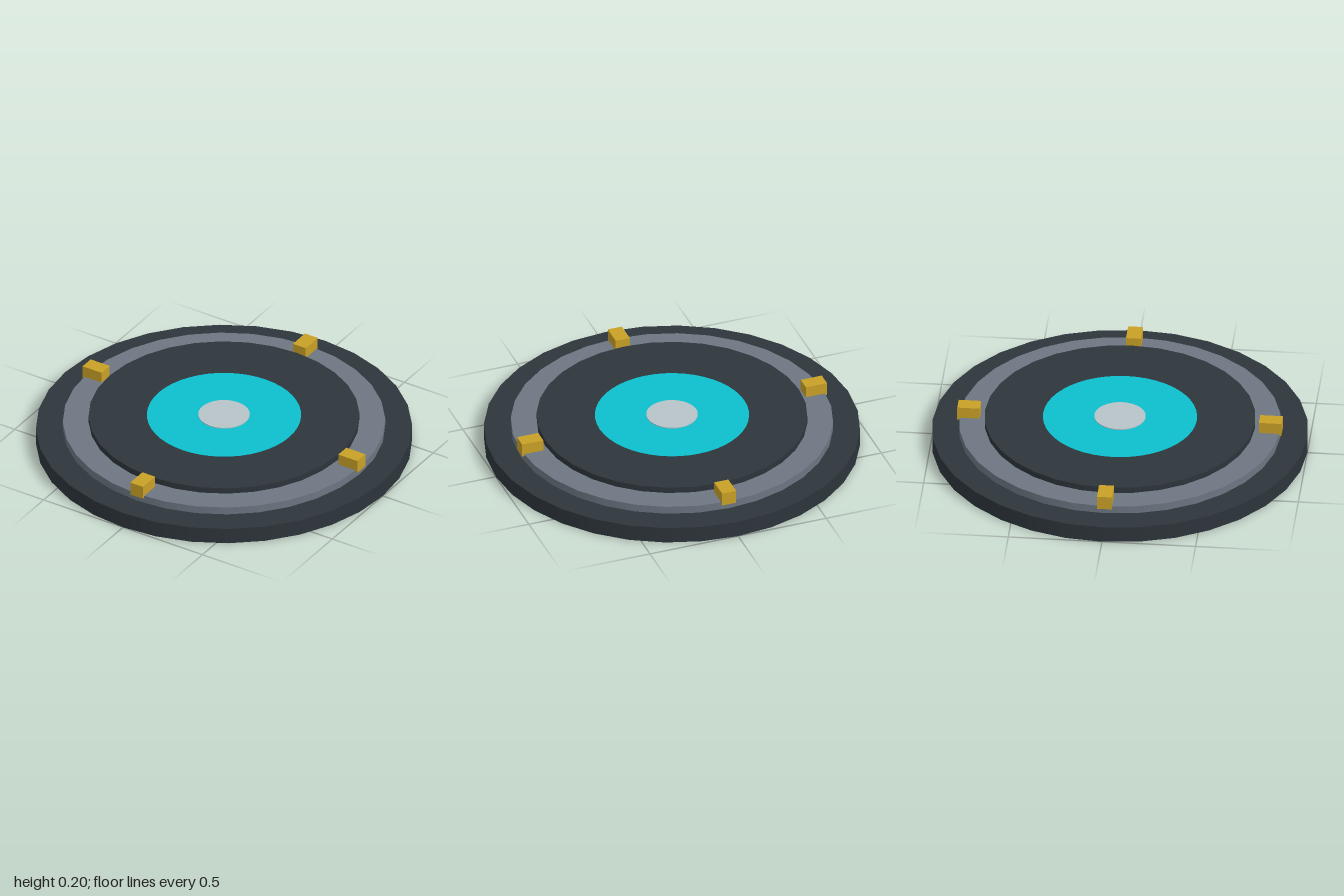
import * as THREE from 'three';

const material = (name, color, flatShading = false) => {
  const m = new THREE.MeshStandardMaterial({ color, flatShading });
  m.name = name;
  return m;
};

export function createModel() {
  const model = new THREE.Group();
  model.name = 'roundPad';

  const dark = material('darkMetal', 0x2d353b);
  const steel = material('steelGrey', 0x6c7682);
  const cyan = material('glowCyan', 0x0cbfce);
  const silver = material('paleSilver', 0xb8c4c8);
  const gold = material('goldYellow', 0xc9a026);

  // A round plate from height y0 to y1
  const disc = (name, radius, y0, y1, sides, mat) => {
    const mesh = new THREE.Mesh(new THREE.CylinderGeometry(radius, radius, y1 - y0, sides), mat);
    mesh.name = name;
    mesh.position.y = (y0 + y1) / 2;
    model.add(mesh);
  };

  // Stacked plates, widest at the bottom
  disc('base', 1, 0, 0.09, 32, dark);
  disc('ringPlate', 0.857, 0.09, 0.133, 32, steel);
  disc('innerPlate', 0.72, 0.133, 0.166, 32, dark);
  disc('glowDisc', 0.41, 0.16, 0.167, 48, cyan);
  disc('centreCap', 0.137, 0.16, 0.172, 32, silver);

  // Four clamps around the ring, long side pointing outward
  for (let i = 0; i < 4; i++) {
    const angle = (i * Math.PI) / 2;
    const clamp = new THREE.Mesh(new THREE.BoxGeometry(0.12, 0.075, 0.08), gold);
    clamp.name = 'clamp' + (i + 1);
    clamp.position.set(Math.cos(angle) * 0.805, 0.158, -Math.sin(angle) * 0.805);
    clamp.rotation.y = angle;
    model.add(clamp);
  }

  return model;
}
